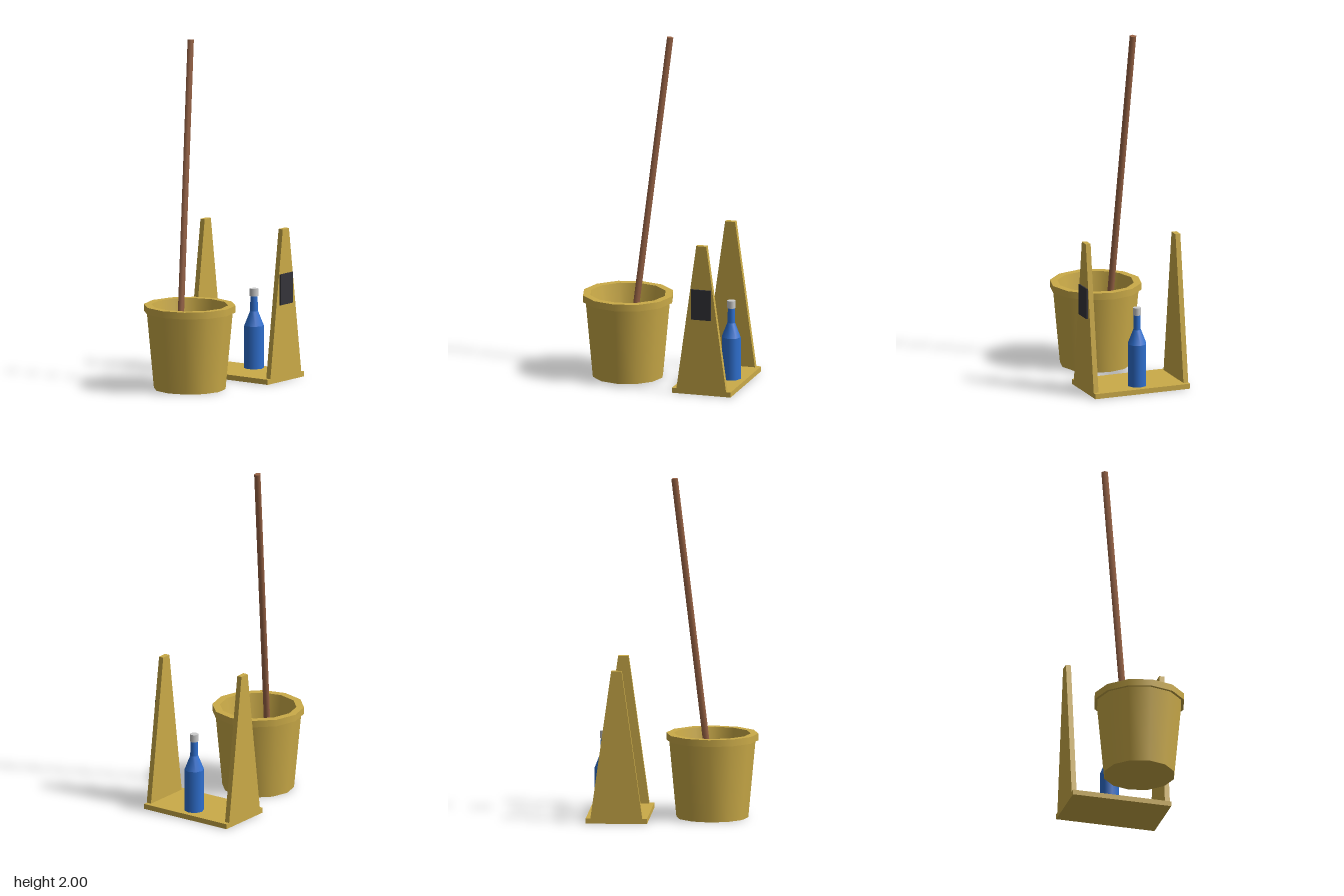
import * as THREE from 'three';
import { mergeGeometries } from 'three/addons/utils/BufferGeometryUtils.js';

const mat = (name, color) => Object.assign(new THREE.MeshStandardMaterial({ color }), { name });

// Turned shape: smooth around the axis, sharp at every profile point
function turned(profile, sides) {
  const bands = [];
  for (let i = 0; i < profile.length - 1; i++) {
    const pair = [profile[i], profile[i + 1]].map(([r, y]) => new THREE.Vector2(r, y));
    bands.push(new THREE.LatheGeometry(pair, sides));
  }
  return mergeGeometries(bands);
}

export function createModel() {
  const yellow = mat('yellow plastic', 0xcbab48);
  const water = mat('water blue', 0x74abcf);
  const wood = mat('brown wood', 0x996446);
  const blue = mat('bottle blue', 0x2f70d0);
  const grey = mat('cap grey', 0xcccccc);
  const dark = mat('dark label', 0x35343a);

  const model = new THREE.Group();
  model.name = 'cleaningSet';
  const add = (parent, name, geometry, material, x = 0, y = 0, z = 0) => {
    const mesh = new THREE.Mesh(geometry, material);
    mesh.name = name;
    mesh.position.set(x, y, z);
    parent.add(mesh);
    return mesh;
  };
  const group = (name, x, z) => {
    const g = new THREE.Group();
    g.name = name;
    g.position.set(x, 0, z);
    model.add(g);
    return g;
  };

  // Bucket with a thick rim, filled with water
  const bucket = group('bucket', -0.224, -0.005);
  add(bucket, 'bucketBody', turned([
    [0, 0], [0.208, 0], [0.25, 0.45], [0.266, 0.45], [0.266, 0.49],
    [0.222, 0.49], [0.175, 0.2], [0, 0.2],
  ], 12), yellow);
  add(bucket, 'waterSurface', turned([[0.194, 0.31], [0, 0.31]], 12), water);

  // Leaning mop handle, standing in the water
  const top = new THREE.Vector3(-0.017, 1.998, -0.153);
  const foot = new THREE.Vector3(-0.224, 0.21, -0.08);
  const axis = top.clone().sub(foot);
  const handle = add(model, 'mopHandle',
    new THREE.CylinderGeometry(0.02, 0.02, axis.length(), 5, 1, false, Math.PI), wood);
  handle.position.copy(foot).add(top).multiplyScalar(0.5);
  handle.quaternion.setFromUnitVectors(new THREE.Vector3(0, 1, 0), axis.normalize());

  // Floor sign: base board with two tapering panels
  const sign = group('floorSign', 0.31, -0.005);
  add(sign, 'signBase', new THREE.BoxGeometry(0.354, 0.03, 0.59), yellow, 0, 0.015, 0);
  const outline = new THREE.Shape([[-0.15, 0.03], [0.15, 0.03], [0.03, 0.89], [-0.03, 0.89]]
    .map(([x, y]) => new THREE.Vector2(x, y)));
  const panel = new THREE.ExtrudeGeometry(outline, { depth: 0.03, bevelEnabled: false });
  add(sign, 'frontPanel', panel, yellow, 0, 0, 0.265);
  add(sign, 'backPanel', panel, yellow, 0, 0, -0.295);
  add(sign, 'signLabel', new THREE.BoxGeometry(0.12, 0.18, 0.008), dark, 0, 0.54, 0.299);

  // Spray bottle standing on the base
  const bottle = group('bottle', 0.4, -0.005);
  add(bottle, 'bottleBody', turned([
    [0, 0.031], [0.057, 0.031], [0.057, 0.28], [0.023, 0.365], [0.021, 0.455],
  ], 8), blue);
  add(bottle, 'bottleCap', turned([
    [0, 0.452], [0.025, 0.452], [0.025, 0.496], [0, 0.496],
  ], 8), grey);

  return model;
}
